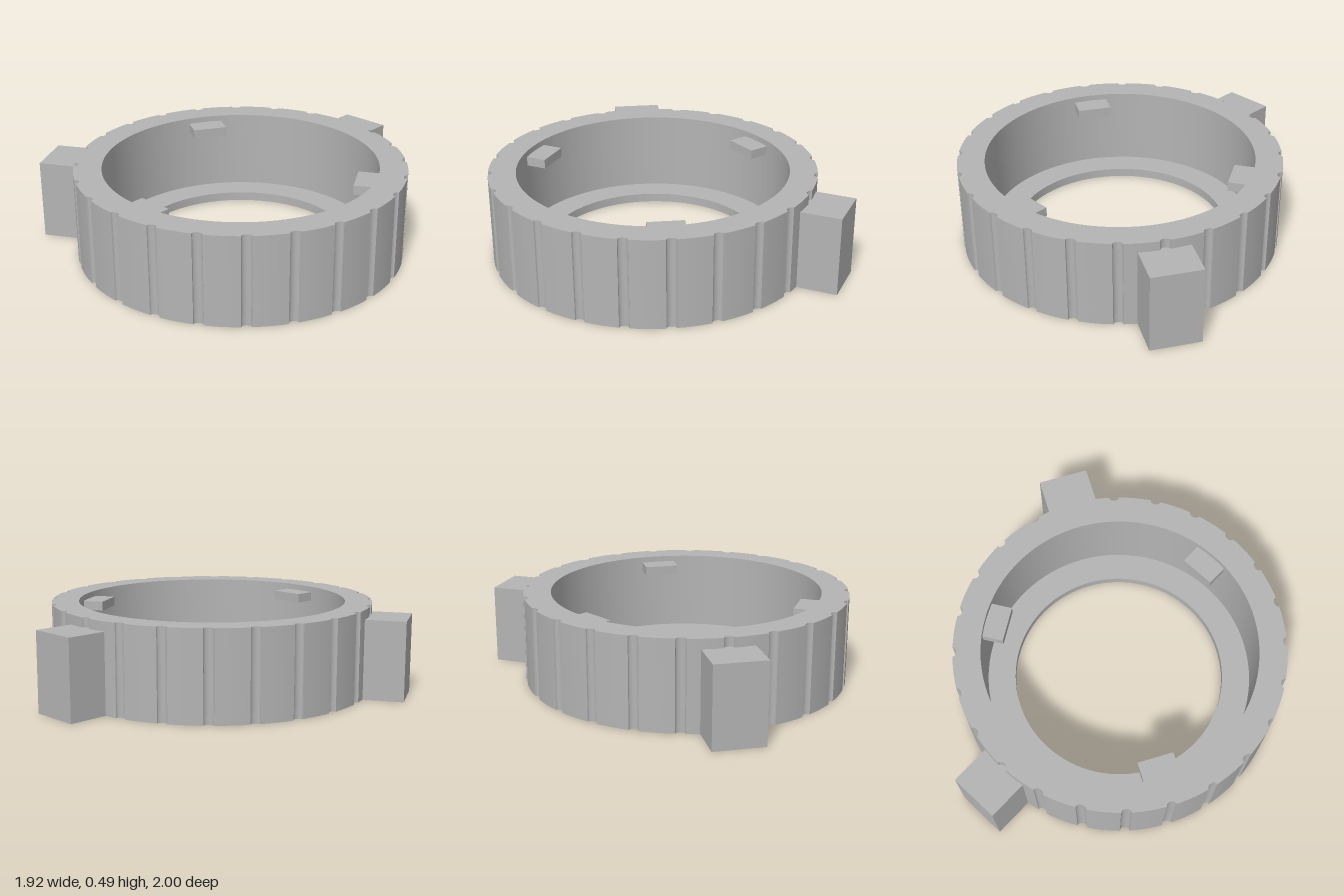
import * as THREE from 'three';
import { toCreasedNormals } from 'three/addons/utils/BufferGeometryUtils.js';

const OUTER = 0.895, WALL = 0.745, HOLE = 0.59;
const HEIGHT = 0.49, FLOOR = 0.05;
const GROOVES = 24, GROOVE_R = 0.027;

// Ring outline with round grip grooves, pierced by a circular hole
function groovedRing(holeRadius, y0, y1) {
  const points = [];
  const step = (Math.PI * 2) / GROOVES;
  const half = GROOVE_R / OUTER;
  for (let i = 0; i < GROOVES; i++) {
    const a = i * step;
    // groove, dipping towards the axis
    for (let k = 0; k <= 8; k++) {
      const t = (k / 8) * Math.PI;
      const side = -Math.cos(t) * half;
      const r = OUTER - Math.sin(t) * 0.02;
      points.push(new THREE.Vector2(Math.cos(a + side) * r, Math.sin(a + side) * r));
    }
    // land between two grooves
    for (let k = 1; k < 5; k++) {
      const b = a + half + (k / 5) * (step - 2 * half);
      points.push(new THREE.Vector2(Math.cos(b) * OUTER, Math.sin(b) * OUTER));
    }
  }
  const shape = new THREE.Shape(points);
  shape.holes.push(new THREE.Path().absarc(0, 0, holeRadius, 0, Math.PI * 2, true));
  const geometry = new THREE.ExtrudeGeometry(shape, {
    depth: y1 - y0, bevelEnabled: false, curveSegments: 48,
  });
  geometry.rotateX(-Math.PI / 2).translate(0, y0, 0);
  return toCreasedNormals(geometry, 0.45);
}

// Block reaching radially from r0 to r1, turned about the ring's axis
function radialBlock(name, material, width, r0, r1, y0, y1, angle) {
  const geometry = new THREE.BoxGeometry(width, y1 - y0, r1 - r0);
  geometry.translate(0, (y0 + y1) / 2, (r0 + r1) / 2);
  const mesh = new THREE.Mesh(geometry, material);
  mesh.name = name;
  mesh.rotation.y = angle;
  return mesh;
}

export function createModel() {
  const model = new THREE.Group();
  model.name = 'bayonetRing';
  const grey = new THREE.MeshStandardMaterial({ color: 0xb4b4b4 });
  grey.name = 'plainGrey';

  // Grooved wall and the floor flange inside it
  const wall = new THREE.Mesh(groovedRing(WALL, FLOOR, HEIGHT), grey);
  wall.name = 'groovedWall';
  const floor = new THREE.Mesh(groovedRing(HOLE, 0, FLOOR), grey);
  floor.name = 'floorFlange';
  model.add(wall, floor);

  // Three small locking tabs near the rim
  for (let i = 0; i < 3; i++) {
    model.add(radialBlock('lockingTab', grey, 0.195, 0.625, 0.75, 0.405, 0.457, (i * Math.PI * 2) / 3));
  }

  // Two large outer lugs
  for (const angle of [Math.PI, -Math.PI / 3]) {
    model.add(radialBlock('outerLug', grey, 0.275, 0.83, 1.105, 0, 0.437, angle));
  }

  // The lugs push the ring off centre
  model.position.set(0.0625, 0, 0.105);
  const root = new THREE.Group();
  root.add(model);
  return root;
}
